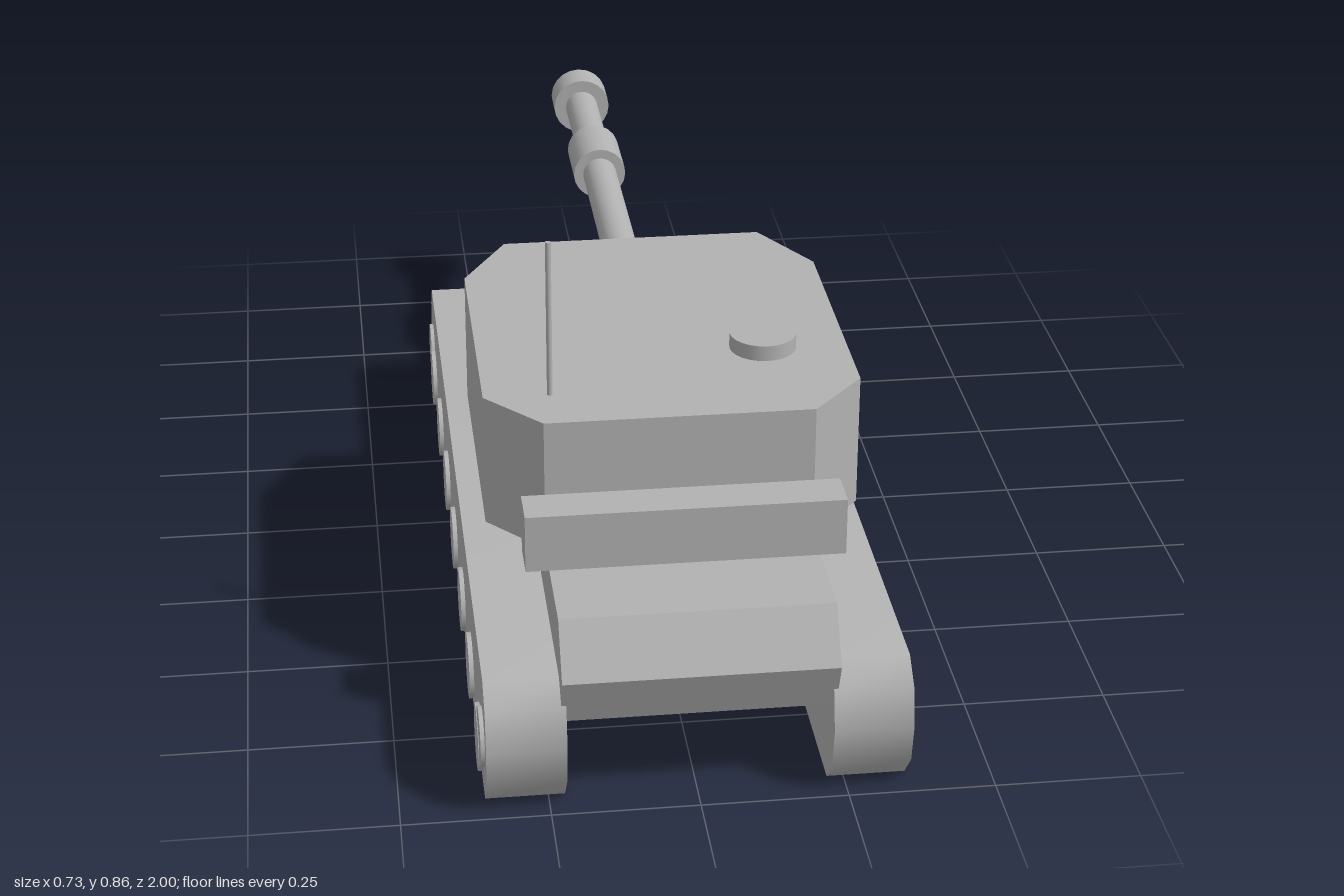
import * as THREE from 'three';
import { toCreasedNormals } from 'three/addons/utils/BufferGeometryUtils.js';

export function createModel() {
  const model = new THREE.Group();
  model.name = 'tank';
  const grey = new THREE.MeshStandardMaterial({ color: 0xb2b2b2 });
  grey.name = 'grey';

  const add = (name, geometry, x = 0, y = 0, z = 0) => {
    const mesh = new THREE.Mesh(geometry, grey);
    mesh.name = name;
    mesh.position.set(x, y, z);
    model.add(mesh);
    return mesh;
  };
  const prism = (points, depth, crease) => toCreasedNormals(new THREE.ExtrudeGeometry(
    new THREE.Shape(points.map(([a, b]) => new THREE.Vector2(a, b))),
    { depth, bevelEnabled: false }), crease);
  // Side profile given as [z, y], extruded across x and centred
  const sideProfile = (points, width, crease) =>
    prism(points.map(([z, y]) => [-z, y]), width, crease)
      .rotateY(Math.PI / 2).translate(-width / 2, 0, 0);

  // Hull with a pointed nose and a gently sloped belly
  add('hull', sideProfile([
    [0.94, 0.34], [1, 0.252], [0.965, 0.16], [-0.6, 0.118], [-0.45, 0.326],
  ], 0.46, 0.1));

  // Tracks and their outer wheel discs
  const track = sideProfile([
    [0.94, 0.232], [0.985, 0.195], [1, 0.125], [0.987, 0.055], [0.94, 0],
    [-0.57, 0], [-0.615, 0.055], [-0.63, 0.125], [-0.618, 0.18], [-0.57, 0.232],
  ], 0.134, 0.75);
  const wheel = (radius) =>
    new THREE.CylinderGeometry(radius, radius, 0.03, 24).rotateZ(Math.PI / 2);
  const roadWheel = wheel(0.058);
  const endWheel = wheel(0.051);
  for (const side of [-1, 1]) {
    const label = side > 0 ? 'left' : 'right';
    add(label + 'Track', track, side * 0.289);
    for (let i = 0; i < 7; i++) {
      add(label + 'RoadWheel' + (i + 1), roadWheel, side * 0.349, 0.071, 0.86 - i * 0.2245);
    }
    add(label + 'RearEndWheel', endWheel, side * 0.348, 0.11, 0.918);
    add(label + 'FrontEndWheel', endWheel, side * 0.348, 0.11, -0.543);
  }

  // Turret: chamfered plan given as [x, z], with vertical walls
  const half = [[0.24, -0.025], [0.324, 0.12], [0.324, 0.6], [0.23, 0.705]];
  const plan = [...half, ...half.map(([x, z]) => [-x, z]).reverse()];
  add('turret', prism(plan.map(([x, z]) => [x, -z]).reverse(), 0.24, 0.6)
    .rotateX(-Math.PI / 2), 0, 0.337, 0);
  add('stowageBox', new THREE.BoxGeometry(0.542, 0.103, 0.075), 0, 0.399, 0.758);
  add('hatch', new THREE.CylinderGeometry(0.058, 0.058, 0.028, 24), 0.167, 0.619, 0.515);
  add('antenna', new THREE.CylinderGeometry(0.005, 0.005, 0.29, 10), -0.21, 0.715, 0.6);

  // Gun
  add('mantlet', new THREE.BoxGeometry(0.166, 0.145, 0.09), -0.004, 0.463, -0.058);
  const tube = (name, radius, z0, z1) => add(name,
    new THREE.CylinderGeometry(radius, radius, z0 - z1, 20).rotateX(Math.PI / 2),
    -0.004, 0.485, (z0 + z1) / 2);
  tube('barrel', 0.034, -0.08, -0.99);
  tube('barrelSleeve', 0.053, -0.555, -0.69);
  tube('muzzleBrake', 0.059, -0.93, -1);

  return model;
}
